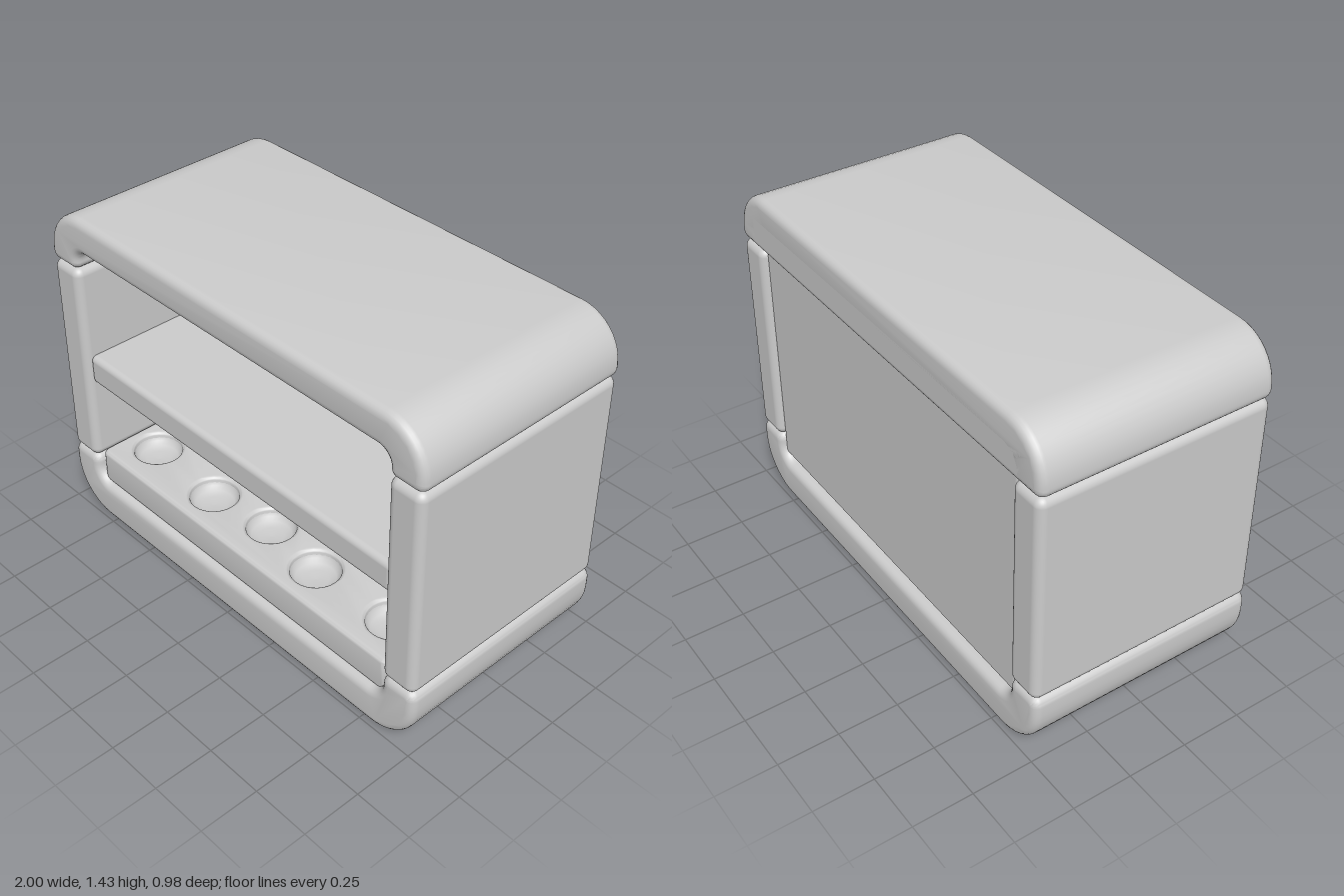
import * as THREE from 'three';
import { toCreasedNormals } from 'three/addons/utils/BufferGeometryUtils.js';
import { RoundedBoxGeometry } from 'three/addons/geometries/RoundedBoxGeometry.js';

const grey = new THREE.MeshStandardMaterial({ color: 0xcccccc });
const greyDouble = new THREE.MeshStandardMaterial({ color: 0xcccccc, side: THREE.DoubleSide });

const HALF_W = 1, HALF_D = 0.49, INNER = 0.84;

function add(parent, name, geometry, material = grey) {
  const mesh = new THREE.Mesh(geometry, material);
  mesh.name = name;
  parent.add(mesh);
  return mesh;
}

// Rounded box given by its extents on each axis
function box(parent, name, [x0, x1], [y0, y1], [z0, z1], r) {
  const mesh = add(parent, name, new RoundedBoxGeometry(x1 - x0, y1 - y0, z1 - z0, 4, r));
  mesh.position.set((x0 + x1) / 2, (y0 + y1) / 2, (z0 + z1) / 2);
  return mesh;
}

// Polygon outline with a fillet at each corner: [x, y, radius]
function filletShape(corners) {
  const shape = new THREE.Shape();
  const n = corners.length;
  corners.forEach(([x, y, r], i) => {
    const p = new THREE.Vector2(x, y);
    const toward = (c) => new THREE.Vector2(c[0], c[1]).sub(p).normalize();
    const a = toward(corners[(i + n - 1) % n]);
    const b = toward(corners[(i + 1) % n]);
    const start = p.clone().addScaledVector(a, r);
    const end = p.clone().addScaledVector(b, r);
    if (i === 0) shape.moveTo(start.x, start.y);
    else shape.lineTo(start.x, start.y);
    // Cubic approximation of a quarter circle
    const k = 0.448 * r;
    shape.bezierCurveTo(x + a.x * k, y + a.y * k, x + b.x * k, y + b.y * k, end.x, end.y);
  });
  shape.closePath();
  return shape;
}

// Extrusion with rounded rims that stays within its outline and depth
function pillowExtrude(shape, depth, bevel, curveSegments = 10) {
  const geometry = new THREE.ExtrudeGeometry(shape, {
    depth: depth - 2 * bevel, bevelEnabled: true, bevelThickness: bevel,
    bevelSize: bevel, bevelOffset: -bevel, bevelSegments: 5, curveSegments,
  });
  geometry.translate(0, 0, bevel);
  return toCreasedNormals(geometry, 0.7);
}

// U-shaped end of the case; outerY is the flat face, tipY the ends of the arms
function channel(parent, name, outerY, innerY, tipY, outerR, innerR) {
  const tip = 0.04;
  let corners = [
    [-HALF_W, outerY, outerR], [HALF_W, outerY, outerR],
    [HALF_W, tipY, tip], [INNER, tipY, tip], [INNER, innerY, innerR],
    [-INNER, innerY, innerR], [-INNER, tipY, tip], [-HALF_W, tipY, tip],
  ];
  // Keep fillets of the short inner walls from overlapping
  const wall = Math.abs(tipY - innerY);
  corners = corners.map(([x, y, r]) => {
    if (Math.abs(x) !== INNER) return [x, y, r];
    return [x, y, y === tipY ? Math.min(r, wall * 0.4) : Math.min(r, wall * 0.58)];
  });
  const geometry = pillowExtrude(filletShape(corners), 2 * HALF_D, 0.035);
  geometry.translate(0, 0, -HALF_D);
  add(parent, name, geometry);
}

// Tray with round cups sunk into its top
function buildTray() {
  const tray = new THREE.Group();
  tray.name = 'tray';
  const y0 = 0.165, top = 0.315, bevel = 0.018, holeR = 0.1;
  const cups = [];
  for (const s of [-1, 1]) {
    cups.push([0.69 * s, 0.28], [0.69 * s, -0.18]);
    cups.push([0.3 * s, 0.3], [0.3 * s, 0], [0.3 * s, -0.3]);
  }
  cups.push([0, 0.26], [0, -0.2]);

  const shape = filletShape([
    [-INNER, -0.46, 0.03], [INNER, -0.46, 0.03], [INNER, 0.45, 0.03], [-INNER, 0.45, 0.03],
  ]);
  for (const [x, z] of cups) {
    const hole = new THREE.Path();
    hole.absarc(x, -z, holeR, 0, Math.PI * 2, true);
    shape.holes.push(hole);
  }
  const slab = pillowExtrude(shape, top - y0, bevel, 14);
  slab.rotateX(-Math.PI / 2);
  slab.translate(0, y0, 0);
  add(tray, 'traySlab', slab);

  // Shallow bowl closing each hole
  const profile = [[0, -0.06], [0.05, -0.058], [0.08, -0.05], [0.095, -0.036], [0.102, -0.018]]
    .map(([r, y]) => new THREE.Vector2(r, y));
  const bowl = new THREE.LatheGeometry(profile, 32);
  for (const [x, z] of cups) {
    add(tray, 'trayCup', bowl, greyDouble).position.set(x, top, z);
  }
  return tray;
}

export function createModel() {
  const model = new THREE.Group();
  model.name = 'displayCase';

  // Outer shell
  channel(model, 'topCap', 1.43, 1.28, 1.19, 0.19, 0.09);
  channel(model, 'base', 0, 0.17, 0.29, 0.21, 0.08);
  for (const s of [-1, 1]) {
    const xs = s > 0 ? [INNER, 0.995] : [-0.995, -INNER];
    box(model, s > 0 ? 'leftWall' : 'rightWall', xs, [0.285, 1.19], [-HALF_D, HALF_D], 0.035);
  }

  // Back: band hanging from the cap and the recessed panel below it
  box(model, 'backBand', [-0.92, 0.92], [1.19, 1.36], [-HALF_D, -0.41], 0.035);
  box(model, 'backPanel', [-INNER - 0.01, INNER + 0.01], [0.19, 1.24], [-0.465, -0.41], 0.02);

  // Interior
  box(model, 'shelf', [-INNER - 0.01, INNER + 0.01], [0.66, 0.79], [-0.44, 0.465], 0.025);
  model.add(buildTray());
  return model;
}
